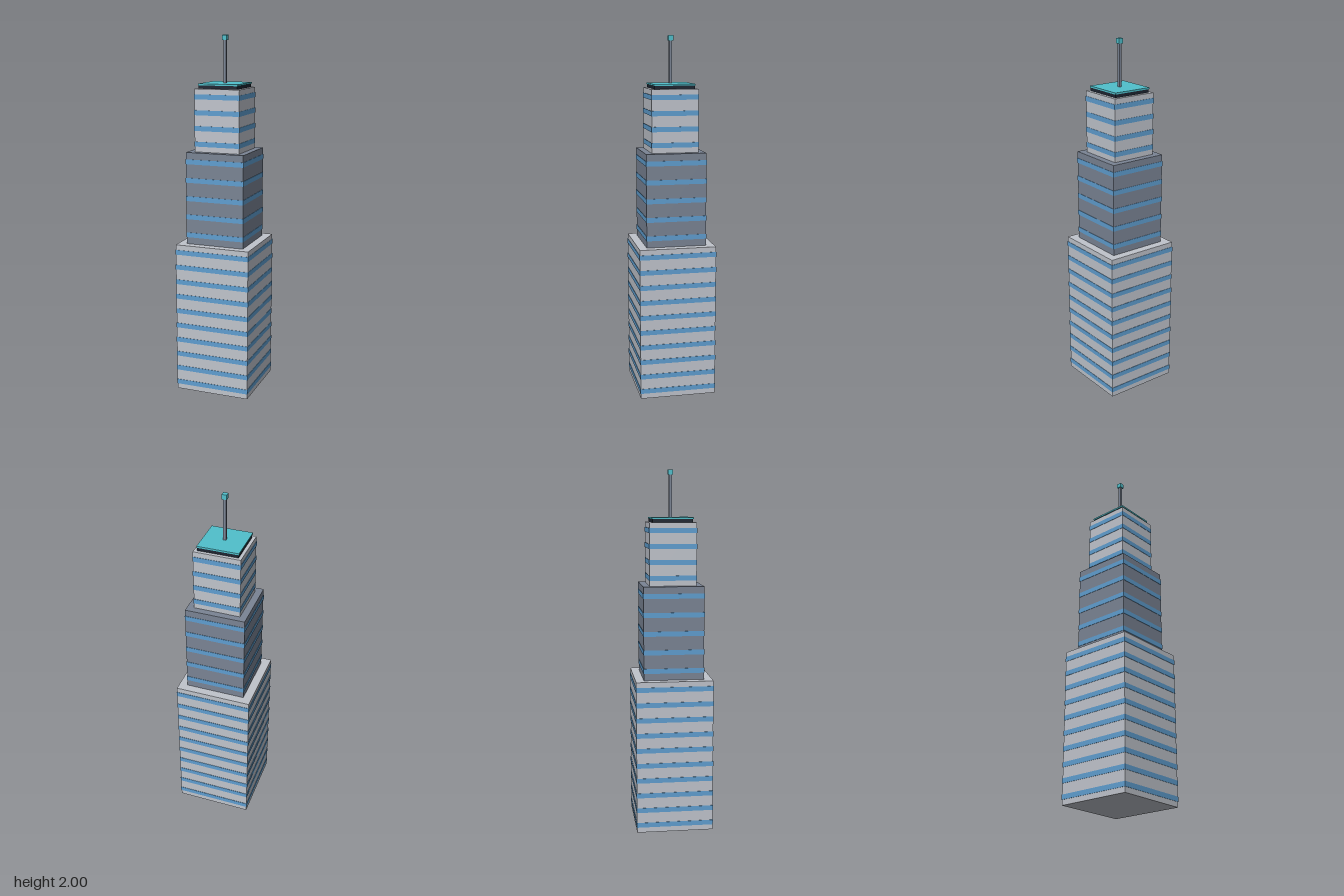
import * as THREE from 'three';

const flat = (name, color) => {
  const m = new THREE.MeshStandardMaterial({ color });
  m.name = name;
  return m;
};

export function createModel() {
  const lightGrey = flat('lightGrey', 0xc0c4cc);
  const slateGrey = flat('slateGrey', 0x7a8494);
  const glassBlue = flat('glassBlue', 0x5f9ed0);
  const darkNavy = flat('darkNavy', 0x1c2430);
  const teal = flat('teal', 0x50c0cc);

  const tower = new THREE.Group();
  tower.name = 'skyscraper';

  // Square block standing on a given height
  const block = (parent, name, width, bottom, top, material) => {
    const mesh = new THREE.Mesh(new THREE.BoxGeometry(width, top - bottom, width), material);
    mesh.name = name;
    mesh.position.y = (bottom + top) / 2;
    parent.add(mesh);
  };

  // Stepped tiers, each wrapped by evenly spaced window bands
  const tiers = [
    { name: 'lowerTier', width: 0.426, bottom: 0, top: 0.858, bands: 10, material: lightGrey },
    { name: 'middleTier', width: 0.333, bottom: 0.858, top: 1.373, bands: 5, material: slateGrey },
    { name: 'upperTier', width: 0.258, bottom: 1.373, top: 1.716, bands: 4, material: lightGrey },
  ];
  const bandHeight = 0.027;
  for (const { name, width, bottom, top, bands, material } of tiers) {
    const tier = new THREE.Group();
    tier.name = name;
    block(tier, name + 'Walls', width, bottom, top, material);
    const step = (top - bottom) / bands;
    for (let i = 0; i < bands; i++) {
      const y = bottom + (i + 0.5) * step;
      block(tier, 'windowBand', width + 0.004, y - bandHeight / 2, y + bandHeight / 2, glassBlue);
    }
    tower.add(tier);
  }

  // Roof and mast
  block(tower, 'roofBase', 0.222, 1.716, 1.734, darkNavy);
  block(tower, 'roofPlate', 0.228, 1.734, 1.743, teal);
  block(tower, 'mast', 0.016, 1.743, 1.974, slateGrey);
  block(tower, 'beacon', 0.027, 1.973, 2, teal);

  return tower;
}
